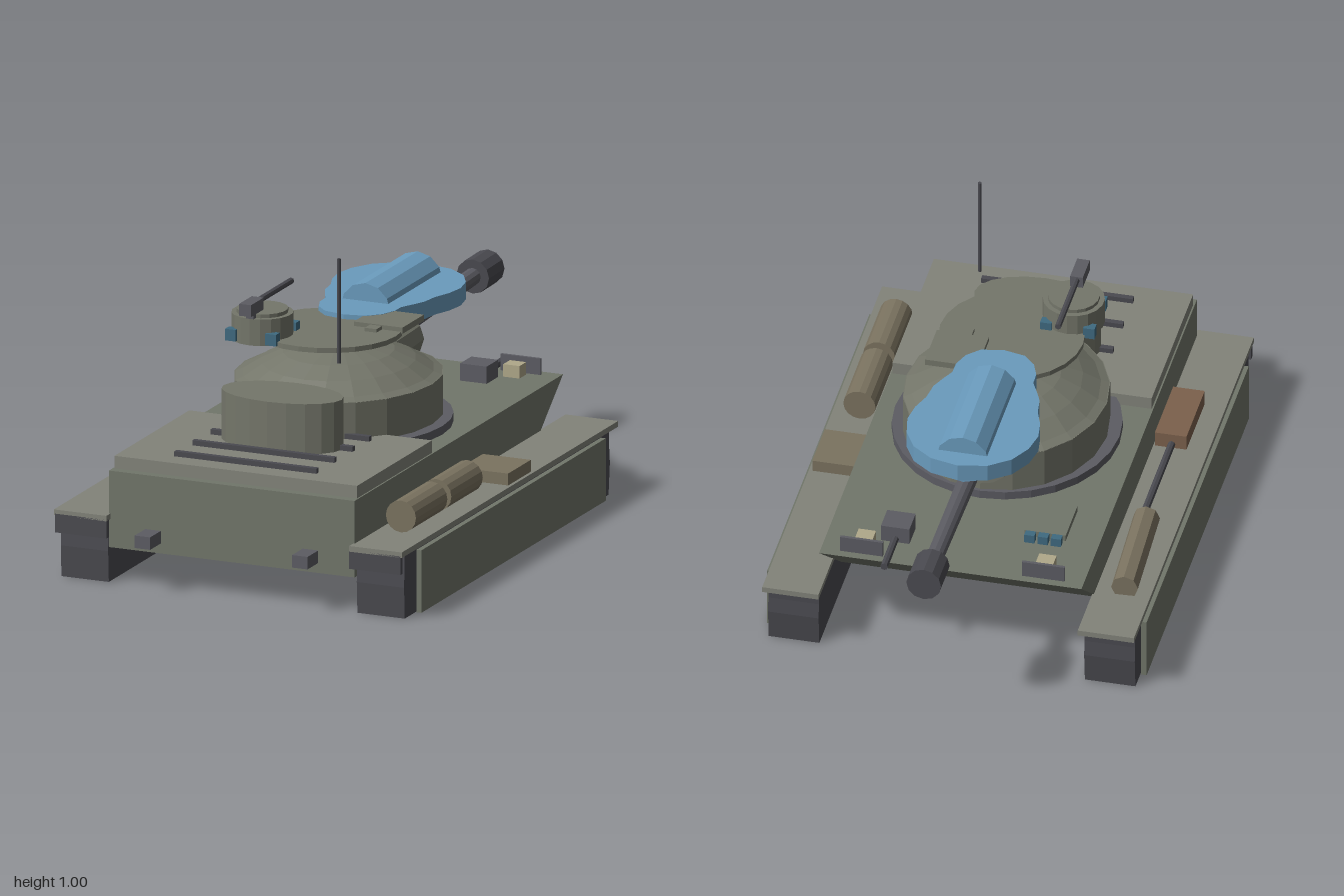
import * as THREE from 'three';

const mat = (color) => new THREE.MeshStandardMaterial({ color, flatShading: true });

export function createModel() {
  const root = new THREE.Group();
  const olive = mat(0x71766a), light = mat(0x82837a), turretOlive = mat(0x74766a);
  const dark = mat(0x4a4a50), steel = mat(0x5c5c63), blue = mat(0x6a9bbd);
  const glass = mat(0x3f6a80), cream = mat(0xb0a88a), tan = mat(0x7b7360), brown = mat(0x7c614c);

  const add = (name, geo, material, parent = root) => {
    const m = new THREE.Mesh(geo, material);
    m.name = name;
    parent.add(m);
    return m;
  };
  // Box given by its limits on each axis
  const box = (name, material, x0, x1, y0, y1, z0, z1) => {
    const m = add(name, new THREE.BoxGeometry(x1 - x0, y1 - y0, z1 - z0), material);
    m.position.set((x0 + x1) / 2, (y0 + y1) / 2, (z0 + z1) / 2);
    return m;
  };
  // Cylinder between two points
  const rod = (name, material, a, b, r, r2 = r, sides = 12) => {
    const p = new THREE.Vector3(...a), q = new THREE.Vector3(...b);
    const m = add(name, new THREE.CylinderGeometry(r2, r, p.distanceTo(q), sides), material);
    m.position.copy(p).add(q).multiplyScalar(0.5);
    m.quaternion.setFromUnitVectors(new THREE.Vector3(0, 1, 0), q.sub(p).normalize());
    return m;
  };
  // Upright elliptical drum
  const drum = (name, material, x, z, rx, rz, y0, y1, sides = 20) => {
    const m = add(name, new THREE.CylinderGeometry(1, 1, y1 - y0, sides), material);
    m.scale.set(rx, 1, rz);
    m.position.set(x, (y0 + y1) / 2, z);
    return m;
  };
  // Side profile of [z, y] points extruded across x
  const sideProfile = (name, material, pts, x0, x1) => {
    const shape = new THREE.Shape(pts.map(([z, y]) => new THREE.Vector2(z, y)));
    const geo = new THREE.ExtrudeGeometry(shape, { depth: x1 - x0, bevelEnabled: false });
    geo.rotateY(-Math.PI / 2).translate(x1, 0, 0);
    return add(name, geo, material);
  };

  // Hull and engine deck
  sideProfile('hull', olive, [[0.92, 0.115], [0.92, 0.36], [-0.64, 0.36], [-0.34, 0.115]], -0.415, 0.415);
  box('engineDeck', light, -0.41, 0.41, 0.355, 0.4, 0.33, 0.89);
  for (const z of [0.415, 0.54, 0.675, 0.81]) box('deckLouvre', dark, -0.24, 0.24, 0.395, 0.416, z - 0.009, z + 0.009);

  // Running gear, mirrored on both sides
  const trackPts = [[0.91, 0], [0.915, 0.1], [0.91, 0.2], [-0.62, 0.2], [-0.62, 0.15], [-0.625, 0.1], [-0.615, 0]];
  for (const s of [-1, 1]) {
    const mirrored = (name, material, x0, x1, ...rest) =>
      box(name, material, Math.min(s * x0, s * x1), Math.max(s * x0, s * x1), ...rest);
    sideProfile('track', dark, trackPts, s * 0.5 - 0.08, s * 0.5 + 0.08);
    mirrored('sideSkirt', olive, 0.583, 0.6, 0, 0.2, -0.55, 0.83);
    mirrored('fender', light, 0.41, 0.588, 0.205, 0.223, -0.67, 0.95);
    mirrored('mudFlap', dark, 0.41, 0.583, 0.15, 0.21, 0.932, 0.95);
    mirrored('towHook', steel, 0.24, 0.292, 0.147, 0.187, 0.9, 1);
    mirrored('headlight', cream, 0.258, 0.313, 0.36, 0.4, -0.59, -0.54);
    mirrored('headlightGuard', steel, 0.22, 0.355, 0.36, 0.412, -0.613, -0.603);
  }

  // Stowage on the fenders
  box('toolBox', tan, 0.41, 0.577, 0.222, 0.261, -0.04, 0.13);
  for (const z of [0.255, 0.52]) rod('fuelDrum', tan, [0.497, 0.277, z], [0.497, 0.277, z + 0.235], 0.051, 0.051, 16);
  box('woodenBox', brown, -0.52, -0.42, 0.222, 0.272, 0.33, 0.577);
  rod('pole', dark, [-0.473, 0.236, -0.1], [-0.473, 0.236, 0.34], 0.012, 0.012, 8);
  rod('rolledTarp', tan, [-0.508, 0.25, -0.455], [-0.49, 0.25, -0.08], 0.042, 0.042, 8);

  // Driver hatch, periscopes and bow gun
  box('driverHatch', olive, -0.31, -0.18, 0.355, 0.38, -0.405, -0.245);
  for (const x of [-0.287, -0.245, -0.203]) box('driverPeriscope', glass, x - 0.016, x + 0.016, 0.36, 0.388, -0.44, -0.415);
  box('bowGunMount', steel, 0.155, 0.245, 0.36, 0.415, -0.53, -0.445);
  rod('bowGunBarrel', dark, [0.2, 0.372, -0.5], [0.2, 0.372, -0.68], 0.012, 0.012, 8);

  // Turret ring, body, dome and rear bustle
  drum('turretRing', steel, 0, 0.13, 0.355, 0.375, 0.36, 0.387, 28);
  drum('turretBody', turretOlive, 0, 0.12, 0.318, 0.355, 0.38, 0.515, 20);
  const domePts = [[0.318, 0.514], [0.29, 0.525], [0.235, 0.56], [0.17, 0.59], [0.09, 0.609], [0, 0.616]];
  const dome = add('turretDome',
    new THREE.LatheGeometry(domePts.map((p) => new THREE.Vector2(...p)), 20), turretOlive);
  dome.scale.z = 1.12;
  dome.position.z = 0.12;
  drum('turretBustle', turretOlive, 0, 0.54, 0.2, 0.115, 0.395, 0.56, 20);

  // Mantlet and main gun
  rod('mantlet', turretOlive, [0, 0.525, -0.08], [0, 0.528, -0.29], 0.088, 0.08, 12).scale.x = 1.3;
  rod('gunCollar', turretOlive, [0, 0.535, -0.27], [0, 0.54, -0.36], 0.055, 0.05);
  rod('gunBarrel', steel, [0, 0.54, -0.34], [0, 0.562, -0.9], 0.03, 0.027);
  rod('muzzle', dark, [0, 0.561, -0.883], [0, 0.563, -0.999], 0.055);

  // Blue lobed cover with a lengthwise cylinder through it
  const half = [[0.09, -0.52], [0.155, -0.472], [0.193, -0.405], [0.207, -0.335], [0.198, -0.27], [0.176, -0.21],
    [0.168, -0.15], [0.148, -0.105], [0.128, -0.065], [0.127, -0.02], [0.108, 0.03], [0.07, 0.068]];
  const outline = [[0, -0.54], ...half, [0, 0.083], ...half.map(([x, z]) => [-x, z]).reverse()];
  const cover = new THREE.ExtrudeGeometry(
    new THREE.Shape(outline.map((p) => new THREE.Vector2(...p))), { depth: 0.056, bevelEnabled: false });
  cover.rotateX(Math.PI / 2).translate(0, 0.691, 0);
  add('blueCover', cover, blue);
  rod('blueCylinder', blue, [0, 0.665, -0.08], [0, 0.665, -0.472], 0.084, 0.084, 12);

  // Roof plate, loader hatch and aerial
  drum('roofPlate', turretOlive, 0, 0.19, 0.226, 0.23, 0.66, 0.676, 24);
  box('loaderHatch', turretOlive, 0.06, 0.225, 0.67, 0.69, -0.02, 0.14);
  box('hatchHinge', turretOlive, 0.115, 0.155, 0.67, 0.687, 0.14, 0.18);
  rod('aerial', dark, [0.175, 0.665, 0.505], [0.175, 1, 0.505], 0.006, 0.006, 8);

  // Commander's cupola with periscopes and machine gun
  drum('cupola', turretOlive, -0.165, 0.325, 0.096, 0.096, 0.66, 0.745, 18);
  drum('cupolaLid', turretOlive, -0.165, 0.325, 0.08, 0.08, 0.74, 0.757, 18);
  for (const sx of [-1, 1]) for (const sz of [-1, 1]) {
    const x = -0.165 + sx * 0.068, z = 0.325 + sz * 0.075;
    box('cupolaPeriscope', glass, x - 0.018, x + 0.018, 0.665, 0.702, z - 0.015, z + 0.015);
  }
  box('machineGunMount', steel, -0.178, -0.152, 0.745, 0.77, 0.37, 0.42);
  box('machineGun', steel, -0.185, -0.145, 0.762, 0.8, 0.36, 0.455);
  rod('machineGunBarrel', dark, [-0.165, 0.787, 0.37], [-0.165, 0.787, 0.11], 0.01, 0.01, 8);
  return root;
}
